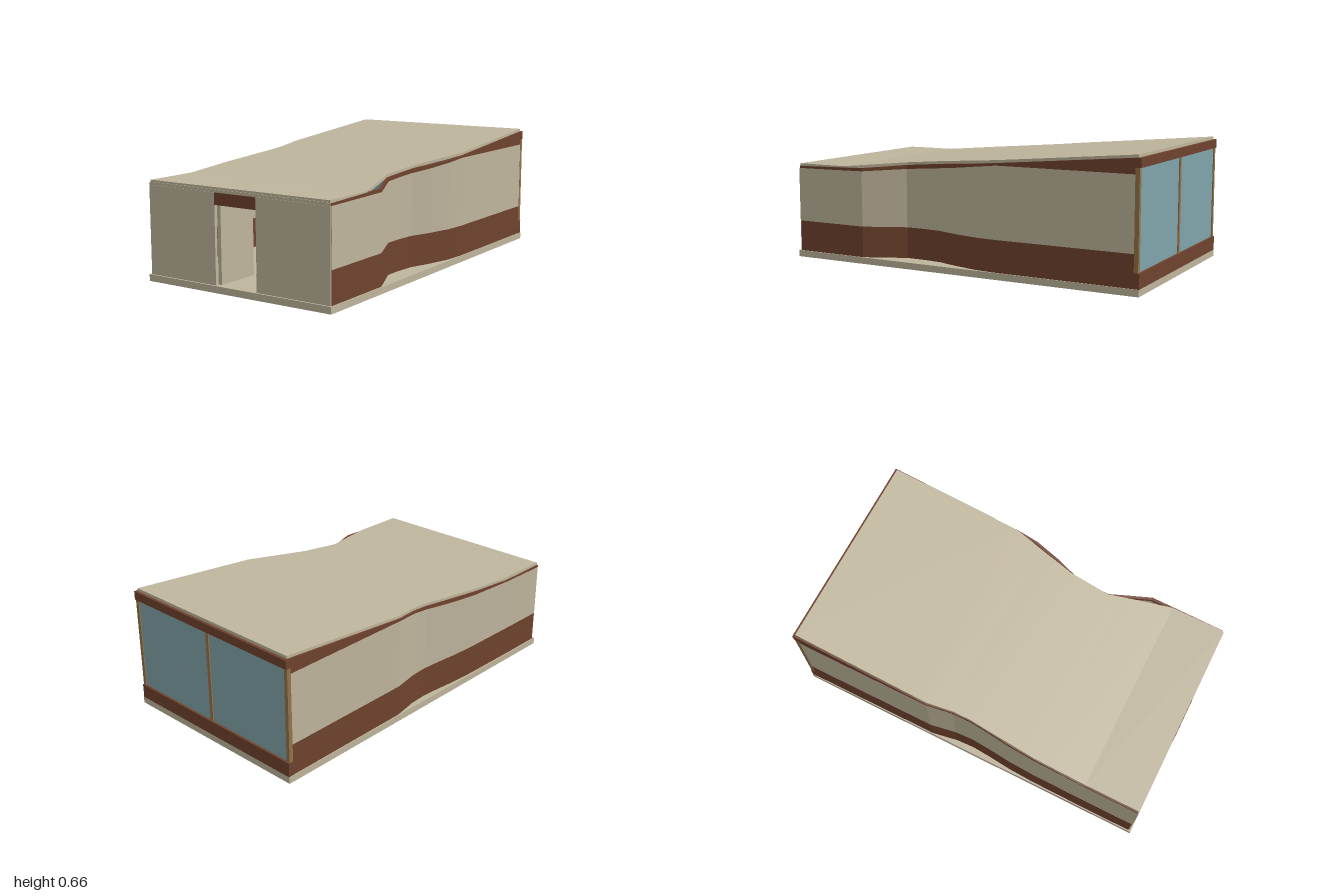
import * as THREE from 'three';

const mat = (name, color) => {
  const m = new THREE.MeshStandardMaterial({ color });
  m.name = name;
  return m;
};

// Linear interpolation through [z, value] pairs, z falling
function lerpAt(pts, z) {
  if (z >= pts[0][0]) return pts[0][1];
  for (let i = 1; i < pts.length; i++) {
    const [z0, v0] = pts[i - 1], [z1, v1] = pts[i];
    if (z >= z1) return v0 + (v1 - v0) * (z0 - z) / (z0 - z1);
  }
  return pts[pts.length - 1][1];
}

// Joins four-cornered sections running front to back into a closed solid.
// Corners go anticlockwise seen from the front.
function loft(sections) {
  const pos = [];
  const quad = (a, b, c, d) => pos.push(...a, ...b, ...c, ...a, ...c, ...d);
  for (let i = 0; i + 1 < sections.length; i++) {
    const p = sections[i], q = sections[i + 1];
    for (let j = 0; j < 4; j++) {
      const k = (j + 1) % 4;
      quad(p[j], q[j], q[k], p[k]);
    }
  }
  const [a, b, c, d] = sections[0];
  const [e, f, g, h] = sections[sections.length - 1];
  quad(a, b, c, d);
  quad(h, g, f, e);
  const geo = new THREE.BufferGeometry();
  geo.setAttribute('position', new THREE.Float32BufferAttribute(pos, 3));
  geo.computeVertexNormals();
  return geo;
}

export function createModel() {
  const house = new THREE.Group();
  house.name = 'pavilion';
  const plaster = mat('beige plaster', 0xbfb59d);
  const wood = mat('brown cladding', 0x70432e);
  const glass = mat('blue glass', 0x80a4aa);
  const frame = mat('tan frame', 0x94744a);

  const add = (name, geo, material) => {
    const m = new THREE.Mesh(geo, material);
    m.name = name;
    house.add(m);
    return m;
  };
  const box = (name, material, x0, x1, y0, y1, z0, z1) =>
    add(name, new THREE.BoxGeometry(x1 - x0, y1 - y0, z1 - z0), material)
      .position.set((x0 + x1) / 2, (y0 + y1) / 2, (z0 + z1) / 2);

  // Floor slab
  box('floorSlab', plaster, -0.556, 0.556, 0, 0.035, -1, 1);

  // Heights along the building
  const roofY = z => lerpAt([[0.69, 0.515], [-0.985, 0.661]], z);
  const plasterTop = z => lerpAt([[0.98, 0.49], [0.57, 0.495], [0.35, 0.51],
    [0.1, 0.53], [-0.1, 0.555], [-0.24, 0.57], [-0.98, 0.57]], z);

  // Side walls follow a waisted plan and have three bands
  const leftPlan = [[0.985, 0.55], [0.57, 0.55], [0.46, 0.502], [0.35, 0.453], [0.24, 0.454],
    [0.14, 0.464], [0.03, 0.502], [-0.12, 0.54], [-0.24, 0.55], [-0.985, 0.552]];
  const rightPlan = [[0.985, 0.55], [0.69, 0.55], [0.4, 0.547], [0.25, 0.54], [0.12, 0.527],
    [0.02, 0.52], [-0.08, 0.525], [-0.22, 0.55], [-0.985, 0.552]];
  const thick = 0.015;
  const band = (plan, side, low, high) => loft(plan.map(([z, x]) => {
    const b = low(z), t = high(z), o = x * side, n = (x - thick) * side;
    const r = Math.max(o, n), l = Math.min(o, n);
    return [[r, b, z], [r, t, z], [l, t, z], [l, b, z]];
  }));
  const base = () => 0.035, dado = () => 0.2;
  for (const [name, plan, side] of [['left', leftPlan, 1], ['right', rightPlan, -1]]) {
    add(name + 'WallBase', band(plan, side, base, dado), wood);
    add(name + 'WallPanel', band(plan, side, dado, plasterTop), plaster);
    add(name + 'WallFascia', band(plan, side, plasterTop, z => roofY(z) - 0.014), wood);
  }

  // Sloping roof, cut in along both sides
  const roofLeft = [[0.985, 0.543], [0.69, 0.543], [0.5, 0.49], [0.35, 0.445], [0.12, 0.46],
    [-0.1, 0.51], [-0.24, 0.543], [-0.985, 0.543]];
  const roofRight = [[0.985, 0.543], [0.4, 0.543], [0.12, 0.525], [0.02, 0.517],
    [-0.08, 0.52], [-0.22, 0.543], [-0.985, 0.543]];
  const stations = [...new Set([...roofLeft, ...roofRight].map(p => p[0]))].sort((a, b) => b - a);
  add('roof', loft(stations.map(z => {
    const y = roofY(z), l = lerpAt(roofLeft, z), r = -lerpAt(roofRight, z);
    return [[l, y - 0.015, z], [l, y, z], [r, y, z], [r, y - 0.015, z]];
  })), plaster);

  // Front wall with doorway, lintel and door standing open
  for (const s of [-1, 1]) {
    const [a, b] = [0.125 * s, 0.547 * s].sort((p, q) => p - q);
    box('frontWall', plaster, a, b, 0.035, 0.49, 0.975, 0.991);
  }
  box('frontFascia', plaster, -0.543, 0.543, 0.49, 0.505, 0.975, 0.989);
  box('doorLintel', wood, -0.125, 0.125, 0.43, 0.49, 0.975, 0.992);
  box('openDoor', plaster, -0.123, -0.102, 0.037, 0.43, 0.73, 0.974);

  // Rug inside the doorway
  box('floorMat', glass, -0.09, 0.35, 0.035, 0.039, 0.25, 0.73);

  // Glazed back wall
  box('backSill', wood, -0.553, 0.553, 0.035, 0.11, -1, -0.97);
  box('backBeam', wood, -0.553, 0.553, 0.6, 0.646, -1, -0.97);
  box('backWindow', glass, -0.54, 0.54, 0.11, 0.6, -0.988, -0.98);
  for (const x of [-0.543, 0, 0.543])
    box('windowPost', frame, x - 0.01, x + 0.01, 0.11, 0.6, -0.994, -0.972);

  return house;
}
